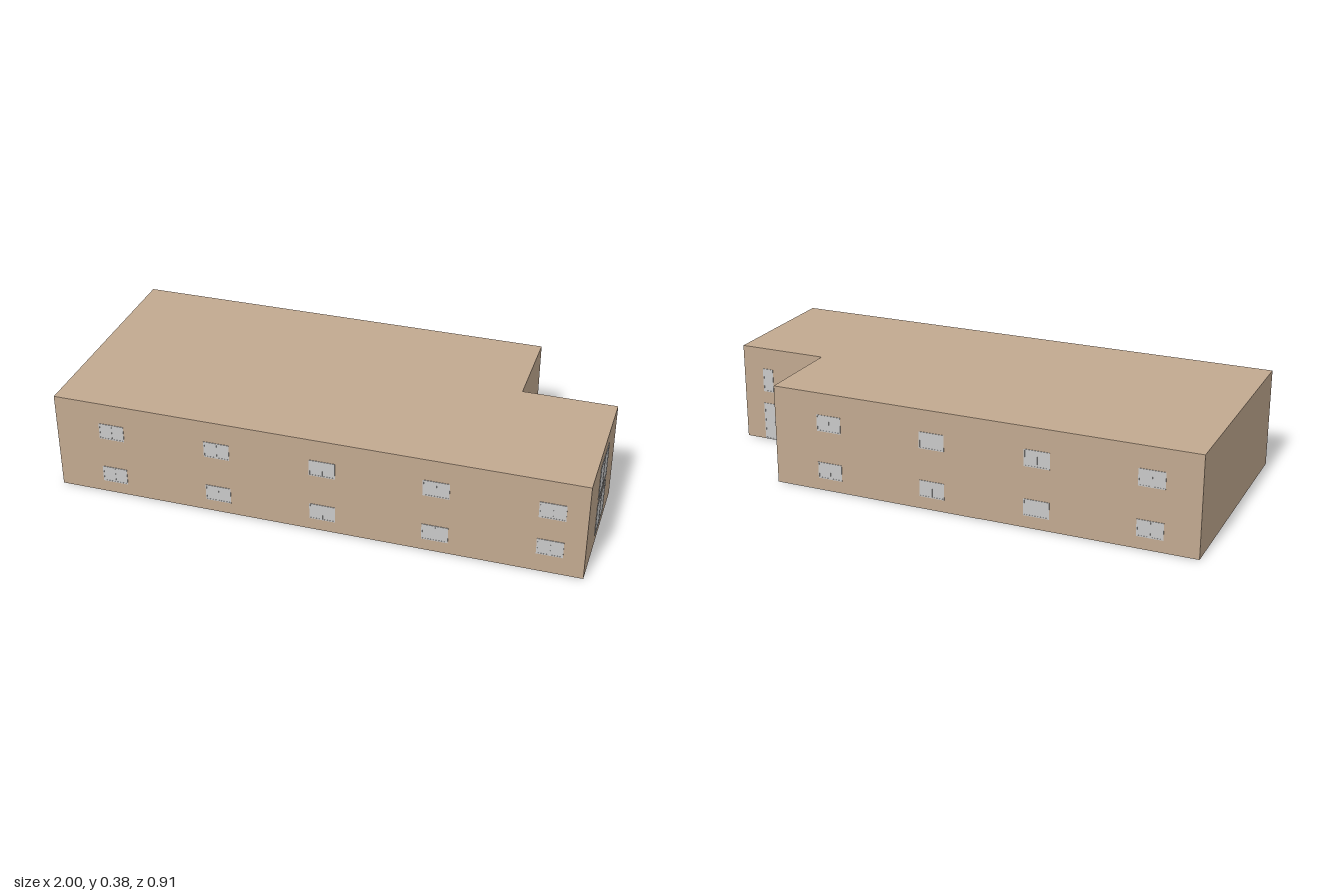
import * as THREE from 'three';

const H = 0.385, BACK = -0.455, FRONT = 0.455, NOTCH_X = 0.643, NOTCH_Z = -0.097;

export function createModel() {
  const wall = new THREE.MeshStandardMaterial({ color: 0xc2a990 });
  wall.name = 'tan wall';
  const grey = new THREE.MeshStandardMaterial({ color: 0xc9c9c9 });
  grey.name = 'light grey';

  const model = new THREE.Group();
  model.name = 'building';

  const box = (parent, name, w, h, d, x, y, z, mat = grey) => {
    const mesh = new THREE.Mesh(new THREE.BoxGeometry(w, h, d), mat);
    mesh.name = name;
    mesh.position.set(x, y, z);
    parent.add(mesh);
  };

  // L-shaped block; shape y becomes -z once laid flat
  const plan = new THREE.Shape([
    [-1, FRONT], [0.998, FRONT], [0.998, NOTCH_Z], [NOTCH_X, NOTCH_Z], [NOTCH_X, BACK], [-1, BACK],
  ].map(([x, z]) => new THREE.Vector2(x, -z)));
  const block = new THREE.ExtrudeGeometry(plan, { depth: H - 0.001, bevelEnabled: false });
  block.rotateX(-Math.PI / 2);
  block.translate(0, 0.001, 0);
  const body = new THREE.Mesh(block, wall);
  body.name = 'buildingBody';
  model.add(body);

  // Floor panel on the underside
  box(model, 'floorPanel', 0.83, 0.002, NOTCH_Z - BACK, NOTCH_X - 0.415, 0.001, (BACK + NOTCH_Z) / 2);

  // Framed opening facing local +z: bars around recessed panes
  function opening(name, w, h, panes, bar, x, y, z, turn) {
    const g = new THREE.Group();
    g.name = name;
    const depth = 0.004;
    for (const s of [-1, 1]) {
      box(g, 'frameRail', w, bar, depth, 0, s * (h - bar) / 2, 0);
    }
    const pitch = (w - bar) / panes;
    for (let i = 0; i <= panes; i++) {
      box(g, 'frameStile', bar, h - 2 * bar, depth, -(w - bar) / 2 + i * pitch, 0, 0);
    }
    for (let i = 0; i < panes; i++) {
      box(g, 'pane', pitch - bar, h - 2 * bar, 0.002, -(w - bar) / 2 + (i + 0.5) * pitch, 0, 0);
    }
    g.position.set(x, y, z);
    g.rotation.y = turn;
    model.add(g);
  }

  // Front windows, two storeys
  for (const x of [-0.778, -0.363, 0.04, 0.46]) {
    for (const y of [0.08, 0.268]) opening('frontWindow', 0.098, 0.064, 2, 0.004, x, y, FRONT, 0);
  }
  for (const y of [0.107, 0.262]) opening('frontEndWindow', 0.096, 0.064, 2, 0.004, 0.873, y, FRONT, 0);

  // Back windows
  for (const x of [-0.822, -0.405, 0, 0.417]) {
    for (const y of [0.08, 0.268]) opening('backWindow', 0.098, 0.064, 2, 0.004, x, y, BACK, Math.PI);
  }

  // Large double windows on the left end
  for (const y of [0.11, 0.267]) opening('endWindow', 0.171, 0.136, 2, 0.008, 0.998, y, 0.162, Math.PI / 2);

  // Door and narrow window in the recessed corner
  opening('backDoor', 0.06, 0.153, 1, 0.005, 0.885, 0.078, NOTCH_Z, Math.PI);
  box(model, 'doorHandle', 0.006, 0.006, 0.006, 0.866, 0.075, NOTCH_Z - 0.003);
  opening('narrowWindow', 0.045, 0.095, 1, 0.004, 0.89, 0.252, NOTCH_Z, Math.PI);

  return model;
}
